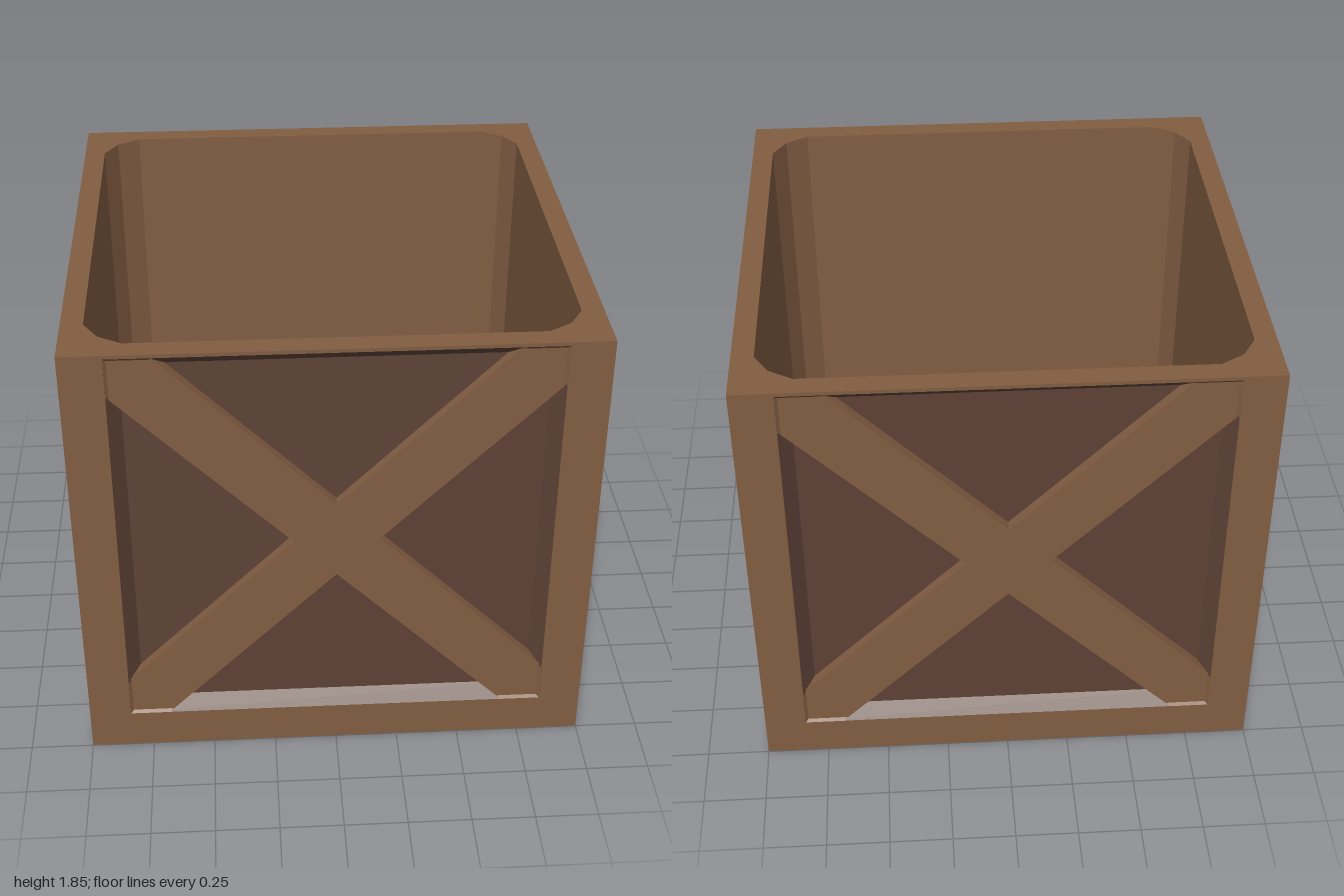
import * as THREE from 'three';

const TOP = 1.85;     // height of the rim
const OPEN = 0.835;   // half size of each framed opening
const PANEL = 0.785;  // half size of the recessed panel
const ARM = 0.165;    // half diagonal of the brace crossing

const wood = new THREE.MeshStandardMaterial({ color: 0x825d42 });
wood.name = 'frame wood';
const darkWood = new THREE.MeshStandardMaterial({ color: 0x5e4236 });
darkWood.name = 'panel wood';

// Repeat a run of [x, y] points around four quarter turns
function fourfold(points) {
  const out = [];
  for (let k = 0; k < 4; k++) {
    for (const [x, y] of points) {
      out.push(new THREE.Vector2(x, y).rotateAround(new THREE.Vector2(), k * Math.PI / 2));
    }
  }
  return out;
}

const square = (h) => fourfold([[h, h]]);

// Inward-facing walls from ring a at height za to ring b at height zb
function innerWalls(a, za, b, zb) {
  const pos = [];
  a.forEach((p, i) => {
    const j = (i + 1) % a.length;
    const A = [p.x, p.y, za], B = [a[j].x, a[j].y, za];
    const C = [b[j].x, b[j].y, zb], D = [b[i].x, b[i].y, zb];
    pos.push(...A, ...B, ...C, ...A, ...C, ...D);
  });
  const geo = new THREE.BufferGeometry();
  geo.setAttribute('position', new THREE.Float32BufferAttribute(pos, 3));
  geo.computeVertexNormals();
  return geo;
}

function add(parent, name, geo, mat) {
  const mesh = new THREE.Mesh(geo, mat);
  mesh.name = name;
  parent.add(mesh);
  return mesh;
}

// One framed face looking along +z at z = 1, with its outer edge ending at y = top
function makeFace(name, top) {
  const face = new THREE.Group();
  face.name = name;

  const frame = new THREE.Shape([[-1, -1], [1, -1], [1, top], [-1, top]].map(([x, y]) => new THREE.Vector2(x, y)));
  frame.holes.push(new THREE.Path(square(OPEN)));
  add(face, 'frame', new THREE.ShapeGeometry(frame).translate(0, 0, 1), wood);

  // Sloped recess and sunken panel
  add(face, 'recessEdge', innerWalls(square(OPEN), 1, square(PANEL), 0.945), darkWood);
  add(face, 'panel', new THREE.PlaneGeometry(2 * PANEL, 2 * PANEL).translate(0, 0, 0.945), darkWood);

  // Crossed brace
  const cross = new THREE.Shape(fourfold([[ARM, 0], [OPEN, OPEN - ARM], [OPEN, OPEN], [OPEN - ARM, OPEN]]));
  const brace = new THREE.ExtrudeGeometry(cross, { depth: 0.05, bevelEnabled: false });
  add(face, 'crossBrace', brace.translate(0, 0, 0.94), wood);

  // Narrow sloped trims where the brace ends meet the frame
  for (let k = 0; k < 4; k++) {
    for (const s of [-1, 1]) {
      const trim = new THREE.PlaneGeometry(0.015, 0.16).rotateY(-Math.PI / 4);
      trim.translate(0.829, s * 0.75, 0.996).rotateZ(k * Math.PI / 2);
      add(face, 'braceEndTrim', trim, wood);
    }
  }
  return face;
}

export function createModel() {
  const crate = new THREE.Group();
  crate.name = 'openCrate';

  // Four sides and the underside
  ['frontSide', 'leftSide', 'backSide', 'rightSide'].forEach((name, k) => {
    const side = makeFace(name, TOP - 1);
    side.position.y = 1;
    side.rotation.y = k * Math.PI / 2;
    crate.add(side);
  });
  const base = makeFace('underside', 1);
  base.position.y = 1;
  base.rotation.x = Math.PI / 2;
  crate.add(base);

  // Rim, inner walls and floor share one outline with clipped corners
  const outline = fourfold([[0.915, 0.77], [0.86, 0.86], [0.77, 0.915]]);
  const rim = new THREE.Shape(square(1));
  rim.holes.push(new THREE.Path(outline));
  const inside = new THREE.Group();
  inside.name = 'interior';
  inside.rotation.x = -Math.PI / 2;
  add(inside, 'rim', new THREE.ShapeGeometry(rim).translate(0, 0, TOP), wood);
  add(inside, 'innerWalls', innerWalls(outline, TOP, outline, 0.085), wood);
  add(inside, 'floor', new THREE.ShapeGeometry(new THREE.Shape(outline)).translate(0, 0, 0.085), wood);
  crate.add(inside);

  return crate;
}
